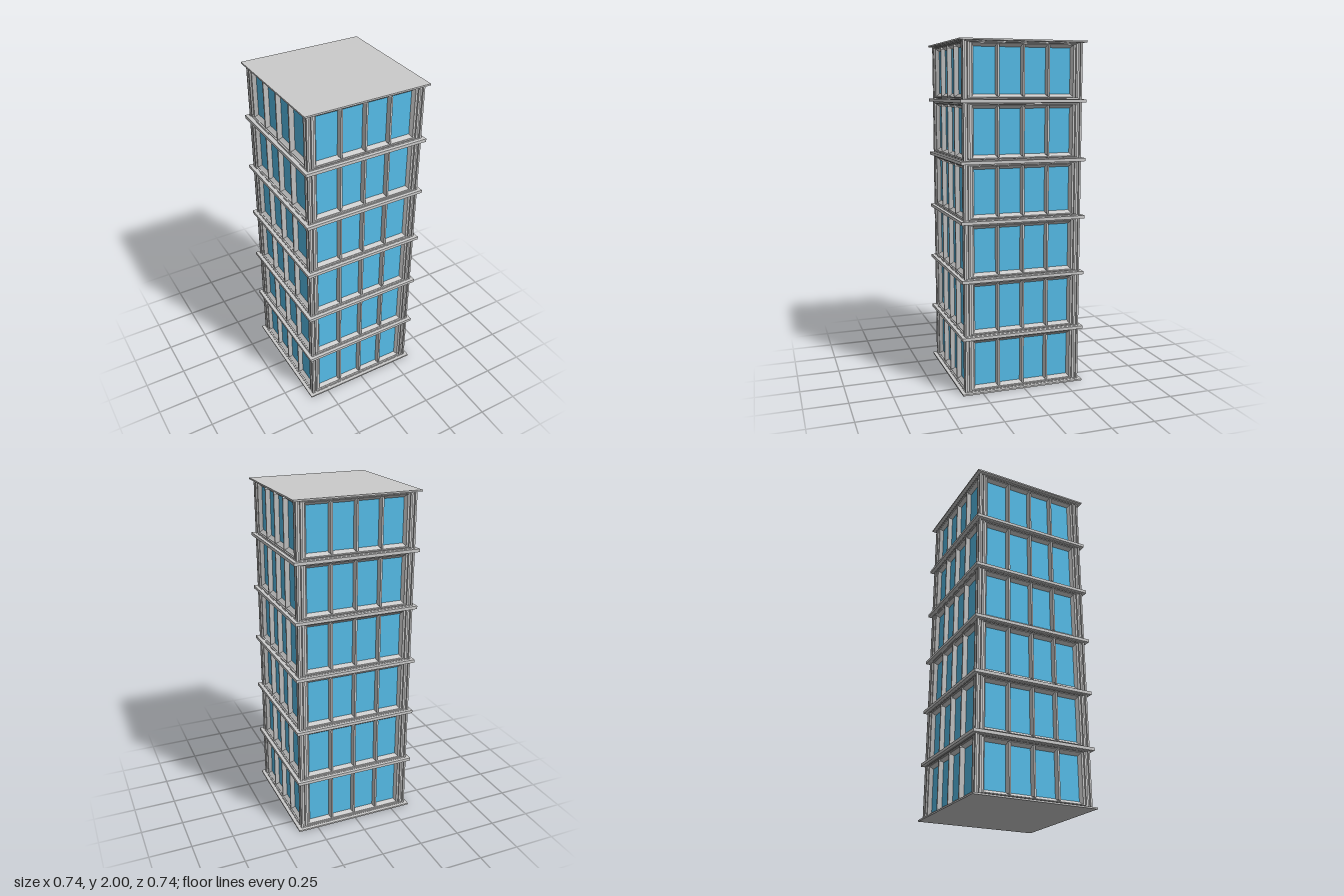
import * as THREE from 'three';

const FLOORS = 6, H = 2 / FLOORS, SLAB = 0.009;
const grey = new THREE.MeshStandardMaterial({ color: 0xcccccc, flatShading: true });
const blue = new THREE.MeshStandardMaterial({ color: 0x56bde9 });

// Skins nested rectangles [halfWidth, inset from floor and ceiling, z], outermost first
function nestedFrame(rings) {
  const pos = [];
  const corners = ([w, i, z]) => [[-w, i, z], [w, i, z], [w, H - i, z], [-w, H - i, z]];
  for (let r = 0; r < rings.length - 1; r++) {
    const a = corners(rings[r]), b = corners(rings[r + 1]);
    for (let k = 0; k < 4; k++) {
      const n = (k + 1) % 4;
      pos.push(...a[k], ...a[n], ...b[n], ...a[k], ...b[n], ...b[k]);
    }
  }
  const g = new THREE.BufferGeometry();
  g.setAttribute('position', new THREE.Float32BufferAttribute(pos, 3));
  g.computeVertexNormals();
  return g;
}

// Fluted surround stepping in to a sloped window reveal
const surroundGeo = nestedFrame([
  [0.35, 0.008, 0.35], [0.339, 0.011, 0.35], [0.337, 0.012, 0.342],
  [0.326, 0.015, 0.342], [0.324, 0.016, 0.35], [0.312, 0.019, 0.35],
  [0.31, 0.02, 0.342], [0.298, 0.023, 0.342], [0.295, 0.027, 0.336],
  [0.285, 0.04, 0.322],
]);

// Ridge-fronted mullion whose ends taper to points
function mullionGeometry() {
  const w = 0.013, h = 0.148, s = new THREE.Shape();
  s.moveTo(0, -h);
  s.lineTo(w, -h + 0.014);
  s.lineTo(w, h - 0.014);
  s.lineTo(0, h);
  s.lineTo(-w, h - 0.014);
  s.lineTo(-w, -h + 0.014);
  const g = new THREE.ExtrudeGeometry(s, { depth: 0.025, bevelEnabled: false });
  const p = g.attributes.position;
  for (let i = 0; i < p.count; i++) {
    if (p.getZ(i) > 0.01) p.setX(i, p.getX(i) * 0.4);
  }
  g.computeVertexNormals();
  return g;
}
const mullionGeo = mullionGeometry();
const glassGeo = new THREE.PlaneGeometry(0.1425, H - 0.08);
const slabGeo = new THREE.BoxGeometry(0.74, SLAB, 0.74);

function add(parent, name, geo, mat, x, y, z) {
  const m = new THREE.Mesh(geo, mat);
  m.name = name;
  m.position.set(x, y, z);
  parent.add(m);
}

// One wall with four panes, facing +z
function createWall() {
  const wall = new THREE.Group();
  wall.name = 'windowWall';
  add(wall, 'flutedSurround', surroundGeo, grey, 0, 0, 0);
  for (let i = 0; i < 4; i++) {
    add(wall, 'glassPane', glassGeo, blue, (i - 1.5) * 0.1425, H / 2, 0.322);
  }
  for (const x of [-0.148, 0, 0.148]) add(wall, 'mullion', mullionGeo, grey, x, H / 2, 0.322);
  return wall;
}

export function createModel() {
  const tower = new THREE.Group();
  tower.name = 'officeTower';
  for (let f = 0; f < FLOORS; f++) {
    const storey = new THREE.Group();
    storey.name = 'storey';
    storey.position.y = f * H;
    // Thin slabs above and below each storey meet as a projecting ledge
    add(storey, 'floorSlab', slabGeo, grey, 0, SLAB / 2, 0);
    add(storey, 'ceilingSlab', slabGeo, grey, 0, H - SLAB / 2, 0);
    for (let s = 0; s < 4; s++) {
      const wall = createWall();
      wall.rotation.y = s * Math.PI / 2;
      storey.add(wall);
    }
    tower.add(storey);
  }
  return tower;
}
